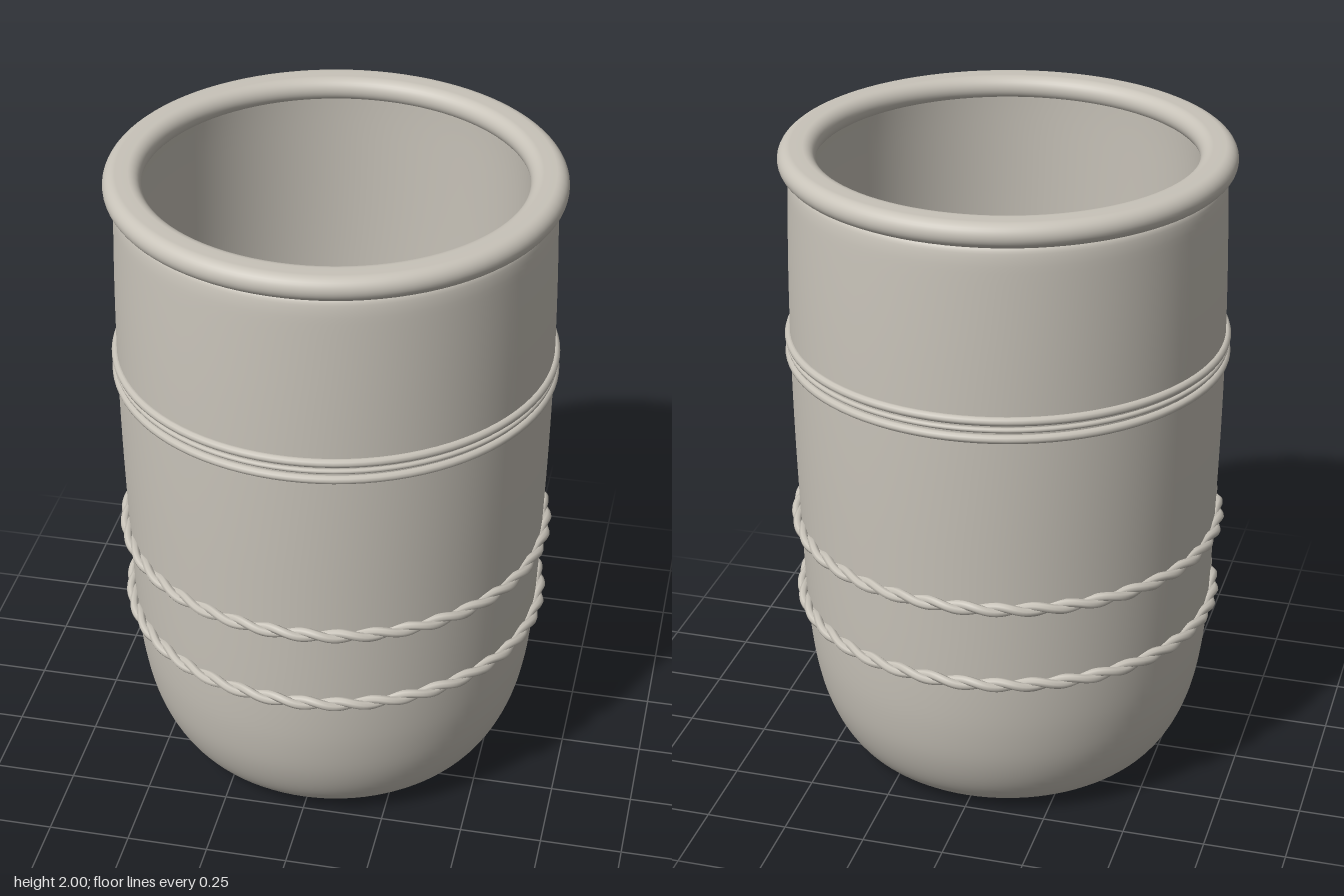
import * as THREE from 'three';

const SEGMENTS = 96;

// Smooth profile through [radius, height] points
const spline = (pts, n) =>
  new THREE.SplineCurve(pts.map(([r, y]) => new THREE.Vector2(r, y))).getPoints(n);

// Closed path of one rope strand winding around a ring
class StrandCurve extends THREE.Curve {
  constructor(radius, y, offset, twists, phase) {
    super();
    Object.assign(this, { radius, y, offset, twists, phase });
    this.arcLengthDivisions = 800;
  }
  getPoint(t, target = new THREE.Vector3()) {
    const a = t * Math.PI * 2;
    const w = a * this.twists + this.phase;
    const r = this.radius + this.offset * Math.cos(w);
    return target.set(r * Math.cos(a), this.y + this.offset * Math.sin(w), r * Math.sin(a));
  }
}

export function createModel() {
  const group = new THREE.Group();
  const clay = new THREE.MeshStandardMaterial({ color: 0xc8c3b9 });
  clay.name = 'stone clay';

  const add = (name, geometry) => {
    const mesh = new THREE.Mesh(geometry, clay);
    mesh.name = name;
    group.add(mesh);
    return mesh;
  };
  const lathe = (name, pts) => add(name, new THREE.LatheGeometry(pts, SEGMENTS));
  const line = (pts) => pts.map(([r, y]) => new THREE.Vector2(r, y));

  // Drain hole, flat underside and flat inner floor
  const hole = 0.046, floorY = 0.07;
  lathe('drainHole', line([[hole, floorY], [hole, 0]]));
  lathe('underside', line([[hole, 0], [0.4, 0]]));
  lathe('innerFloor', line([[0.38, floorY], [hole, floorY]]));

  // Rounded outer wall with a slight belly
  lathe('outerWall', spline([
    [0.4, 0], [0.45, 0.012], [0.508, 0.055], [0.555, 0.125], [0.592, 0.22], [0.615, 0.33],
    [0.628, 0.45], [0.637, 0.62], [0.645, 0.85], [0.652, 1.1], [0.655, 1.35],
    [0.653, 1.6], [0.647, 1.82], [0.642, 1.895], [0.632, 1.922], [0.61, 1.932],
  ], 60));

  // Inner wall curving into the floor
  lathe('innerWall', spline([
    [0.57, 1.96], [0.575, 1.8], [0.58, 1.35], [0.572, 0.85], [0.562, 0.5], [0.54, 0.32],
    [0.503, 0.19], [0.45, 0.1], [0.38, floorY],
  ], 40));

  // Thick rolled lip
  const h = 0.0375, lip = [];
  for (let i = 0; i <= 32; i++) {
    const a = (i / 32) * Math.PI * 2 - Math.PI / 2;
    const centre = i <= 16 ? 0.635 : 0.598;
    lip.push(new THREE.Vector2(centre + h * Math.cos(a), 2 - h + h * Math.sin(a)));
    if (i === 16) lip.push(new THREE.Vector2(0.598, 2));
  }
  lip.push(lip[0].clone());
  lathe('rolledLip', lip);

  // Pair of plain rings with a fine raised band between
  for (const [y, r] of [[1.41, 0.0135], [1.355, 0.0135], [1.3825, 0.008]]) {
    const ring = add('plainRing', new THREE.TorusGeometry(0.657, r, 10, SEGMENTS));
    ring.rotation.x = Math.PI / 2;
    ring.position.y = y;
  }

  // Twisted two-strand ropes around the lower body
  for (const [y, radius] of [[0.8, 0.65], [0.54, 0.642]]) {
    for (const phase of [0, Math.PI]) {
      const curve = new StrandCurve(radius, y, 0.0085, 20, phase);
      add('ropeStrand', new THREE.TubeGeometry(curve, 400, 0.0135, 8, true));
    }
  }
  return group;
}
